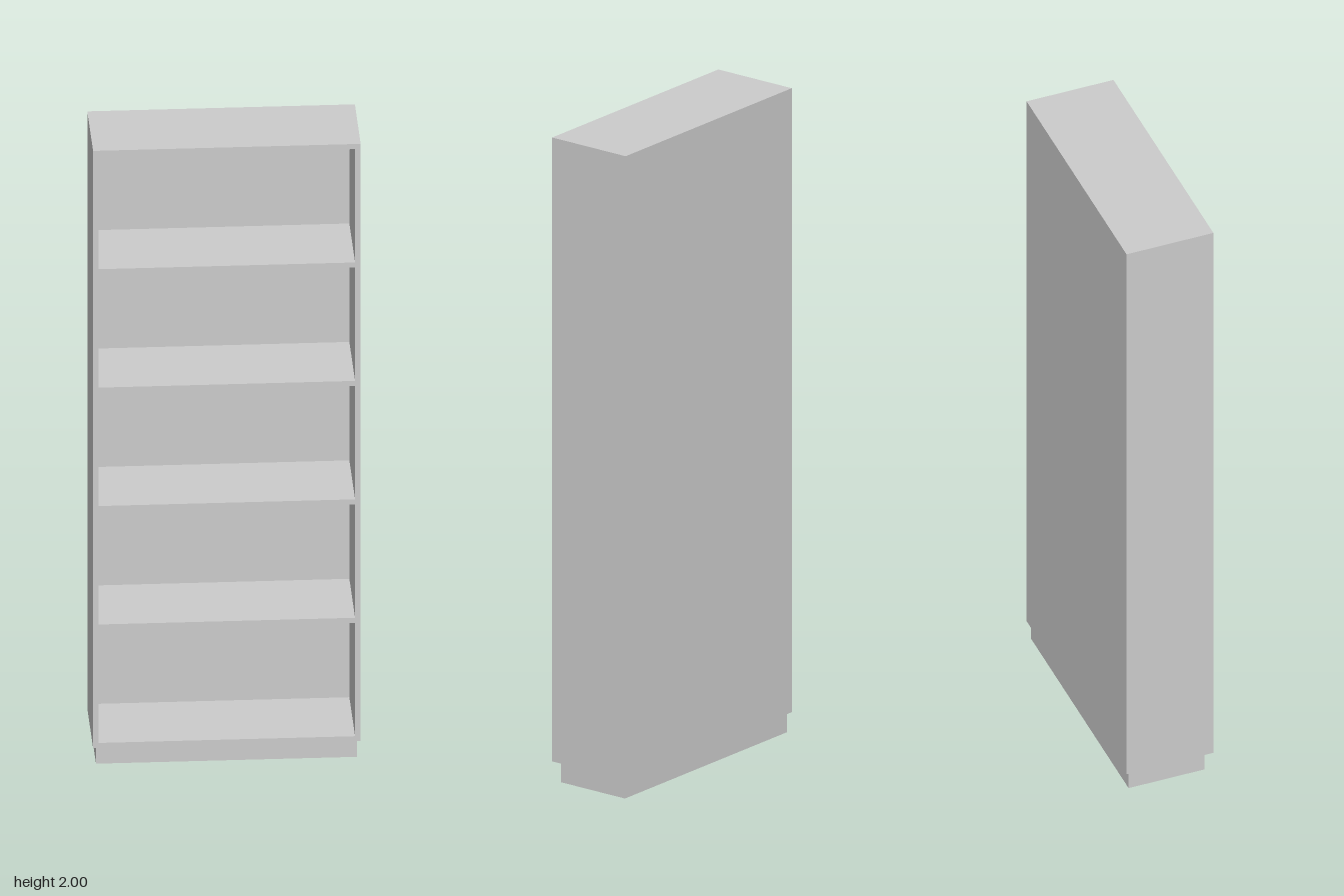
import * as THREE from 'three';

const W = 0.788, D = 0.275, H = 2; // overall size
const T = 0.0165;                  // board thickness
const BACK = 0.004;                // back panel thickness
const PLINTH = 0.062;              // plinth height
const SHELVES = 4;

export function createModel() {
  const group = new THREE.Group();
  const material = new THREE.MeshStandardMaterial({ color: 0xcccccc, flatShading: true });

  // Board given by its size, bottom height and centre
  const board = (name, w, h, d, x, bottom, z) => {
    const mesh = new THREE.Mesh(new THREE.BoxGeometry(w, h, d), material);
    mesh.name = name;
    mesh.position.set(x, bottom + h / 2, z);
    group.add(mesh);
  };

  const innerW = W - 2 * T;
  const floor = PLINTH + T;
  const ceiling = H - T;

  // Recessed plinth, set back further at the front
  board('plinth', 0.768, PLINTH, 0.24, 0, 0, -0.007);

  // Carcass
  board('topBoard', W, T, D, 0, ceiling, 0);
  board('bottomBoard', innerW, T, D, 0, PLINTH, 0);
  for (const [side, name] of [[1, 'leftSide'], [-1, 'rightSide']]) {
    board(name, T, ceiling - PLINTH, D, side * (W - T) / 2, PLINTH, 0);
  }
  board('backPanel', innerW, ceiling - floor, BACK, 0, floor, (BACK - D) / 2);

  // Evenly spaced shelves in front of the back panel
  const gap = (ceiling - floor - SHELVES * T) / (SHELVES + 1);
  for (let i = 0; i < SHELVES; i++) {
    board(`shelf${i + 1}`, innerW, T, D - BACK, 0, floor + gap + i * (gap + T), BACK / 2);
  }

  return group;
}
